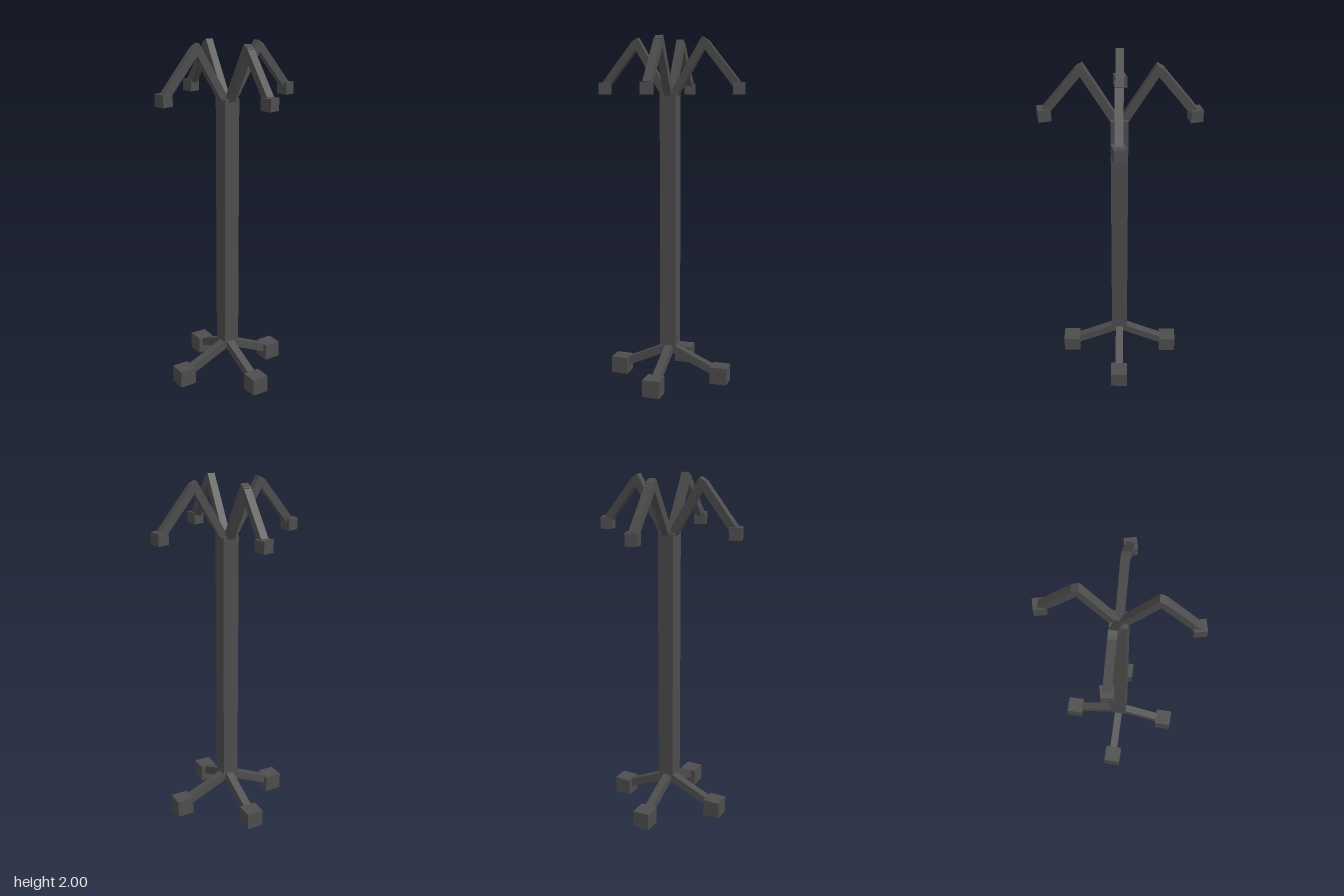
import * as THREE from 'three';

const material = new THREE.MeshStandardMaterial({ color: 0x4d4d4d, flatShading: true });

function box(name, w, h, d, x, y, z = 0) {
  const mesh = new THREE.Mesh(new THREE.BoxGeometry(w, h, d), material);
  mesh.name = name;
  mesh.position.set(x, y, z);
  return mesh;
}

// Square bar between two points [radius, height] in the arm's vertical plane
function bar(name, [r0, y0], [r1, y1], thickness) {
  const length = Math.hypot(r1 - r0, y1 - y0);
  const mesh = box(name, length, thickness, thickness, (r0 + r1) / 2, (y0 + y1) / 2);
  mesh.rotation.z = Math.atan2(y1 - y0, r1 - r0);
  return mesh;
}

export function createModel() {
  const model = new THREE.Group();
  model.name = 'coatStand';

  // Whole stand is twisted slightly about the vertical
  const twist = -THREE.MathUtils.degToRad(14.7);
  const pole = box('pole', 0.095, 1.48, 0.095, 0, 0.95);
  pole.rotation.y = twist;
  model.add(pole);

  for (let i = 0; i < 4; i++) {
    const angle = twist + i * Math.PI / 2;

    // Leg sloping down to a block foot
    const leg = new THREE.Group();
    leg.name = 'leg';
    leg.rotation.y = angle;
    leg.add(
      bar('legBar', [0, 0.19], [0.29, 0.06], 0.047),
      box('foot', 0.1, 0.1, 0.1, 0.308, 0.05),
    );
    model.add(leg);

    // Hook arm rising outward, then bending down
    const arm = new THREE.Group();
    arm.name = 'hookArm';
    arm.rotation.y = angle;
    arm.add(
      bar('risingBar', [0.019, 1.67], [0.209, 1.989], 0.044),
      bar('fallingBar', [0.204, 1.969], [0.39, 1.738], 0.044),
    );
    // End block stays square to the axes
    const knob = box('hookEnd', 0.068, 0.068, 0.068, 0.401, 1.715);
    knob.rotation.y = -twist;
    arm.add(knob);
    model.add(arm);
  }
  return model;
}
